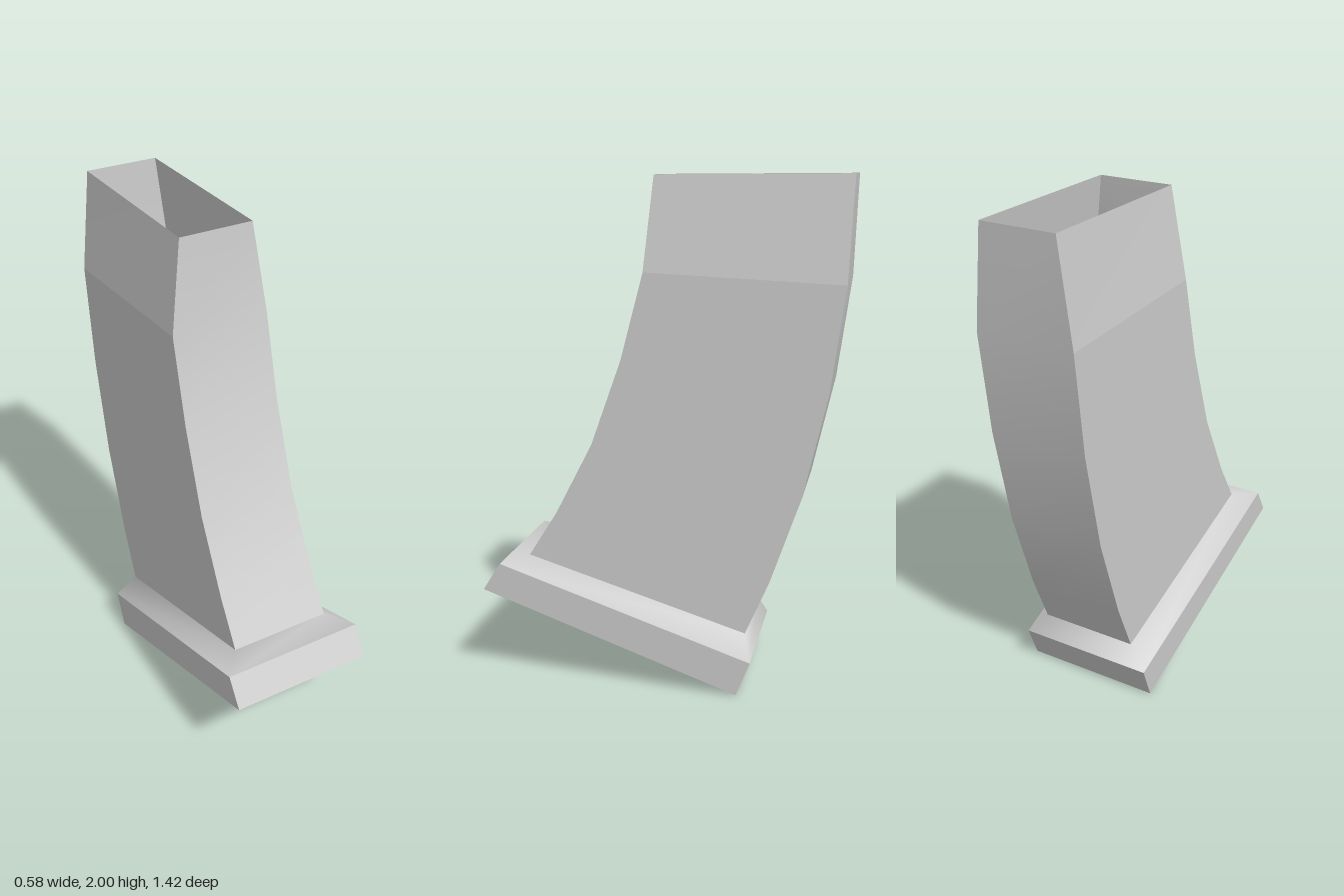
import * as THREE from 'three';
import { mergeVertices, toCreasedNormals } from 'three/addons/utils/BufferGeometryUtils.js';

// Each cross-section: front z, front y, back z, back y, front half-width, back half-width
const bodySections = [
  [0.035, 1.995, -0.708, 2.0, 0.15, 0.15],
  [0.068, 1.637, -0.693, 1.603, 0.2, 0.197],
  [0.155, 1.305, -0.639, 1.198, 0.201, 0.198],
  [0.276, 0.965, -0.549, 0.796, 0.203, 0.199],
  [0.425, 0.677, -0.43, 0.445, 0.205, 0.2],
  [0.538, 0.498, -0.338, 0.229, 0.207, 0.201],
];
const baseSections = [
  bodySections[bodySections.length - 1],
  [0.637, 0.48, -0.37, 0.139, 0.292, 0.28],
  [0.708, 0.368, -0.315, 0, 0.291, 0.279],
];

const material = new THREE.MeshStandardMaterial({ color: 0xcccccc, side: THREE.DoubleSide });

function namedMesh(geometry, name) {
  const mesh = new THREE.Mesh(geometry, material);
  mesh.name = name;
  return mesh;
}

// Corners of one cross-section, counter-clockwise from the front right
function ring([fz, fy, bz, by, fw, bw]) {
  return [[-fw, fy, fz], [fw, fy, fz], [bw, by, bz], [-bw, by, bz]];
}

// Chosen walls through the sections: 0 front, 1 left, 2 back, 3 right
function walls(sections, sides) {
  const rings = sections.map(ring);
  const points = [];
  for (let i = 0; i < rings.length - 1; i++) {
    const top = rings[i], bottom = rings[i + 1];
    for (const s of sides) {
      const n = (s + 1) % 4;
      points.push(bottom[s], bottom[n], top[n], bottom[s], top[n], top[s]);
    }
  }
  const geometry = new THREE.BufferGeometry();
  geometry.setAttribute('position', new THREE.Float32BufferAttribute(points.flat(), 3));
  return geometry;
}

// Sloping floor, arched gently inwards from its four straight edges
function archedFloor([fz, fy, bz, by, fw, bw], rise) {
  const geometry = new THREE.PlaneGeometry(2, 2, 12, 12);
  const position = geometry.attributes.position;
  const { lerp } = THREE.MathUtils;
  const length = Math.hypot(fz - bz, fy - by);
  for (let i = 0; i < position.count; i++) {
    const u = position.getX(i), v = position.getY(i), t = (1 - v) / 2;
    const lift = rise * (1 - u * u) * (1 - v * v);
    position.setXYZ(i, u * lerp(bw, fw, 1 - t),
      lerp(by, fy, 1 - t) + lift * (fz - bz) / length,
      lerp(bz, fz, 1 - t) - lift * (fy - by) / length);
  }
  geometry.computeVertexNormals();
  return geometry;
}

export function createModel() {
  const group = new THREE.Group();
  group.name = 'curvedMagazine';

  // Open-topped hollow body: smooth curved front and back, flat sides
  const body = new THREE.Group();
  body.name = 'body';
  body.add(namedMesh(toCreasedNormals(walls(bodySections, [0, 2]), 0.5), 'curvedWalls'));
  body.add(namedMesh(toCreasedNormals(walls(bodySections, [1, 3]), 0.06), 'sideWalls'));

  // Flared foot: a flange shaded smoothly round its corners, then a sharp rim and floor
  const base = new THREE.Group();
  base.name = 'basePlate';
  const allSides = [0, 1, 2, 3];
  const flange = mergeVertices(walls(baseSections.slice(0, 2), allSides));
  flange.computeVertexNormals();
  base.add(namedMesh(flange, 'flange'));
  base.add(namedMesh(toCreasedNormals(walls(baseSections.slice(1), allSides), 0.3), 'rim'));
  base.add(namedMesh(archedFloor(baseSections[2], 0.04), 'floor'));

  group.add(body, base);
  return group;
}
